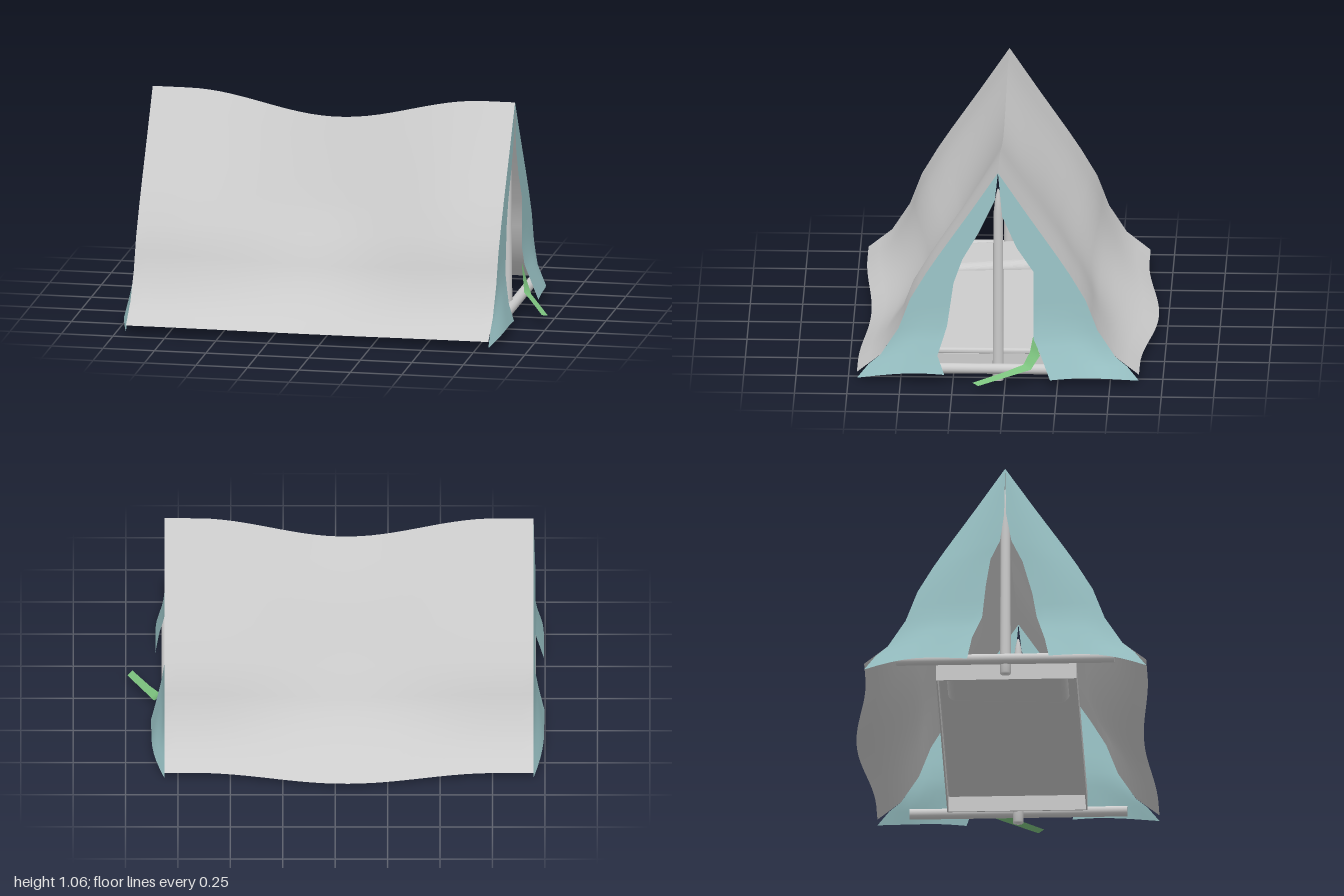
import * as THREE from 'three';
import { RoundedBoxGeometry } from 'three/addons/geometries/RoundedBoxGeometry.js';

const RIDGE_Z = 0.035, X_MIN = -0.945, X_MAX = 0.815;

const grey = new THREE.MeshStandardMaterial({ color: 0xcccccc });
const cloth = new THREE.MeshStandardMaterial({ color: 0xcccccc, side: THREE.DoubleSide });
const teal = new THREE.MeshStandardMaterial({ color: 0x9cc6c9, side: THREE.DoubleSide });
const green = new THREE.MeshStandardMaterial({ color: 0x7cc27e, side: THREE.DoubleSide });

// Slope of the tent: [distance from ridge, height, mid-span dent of the front, of the back]
const SLOPE = [
  [0, 1.06, 0, 0], [0.14, 0.85, 0.045, 0.005], [0.28, 0.645, 0.09, 0.03], [0.342, 0.55, 0.1, 0.04],
  [0.418, 0.42, 0.1, 0.04], [0.475, 0.268, 0.085, 0.015], [0.56, 0.135, 0.06, -0.035], [0.673, 0.045, 0.042, -0.068],
];

// Sheet whose grid points are placed by rule(u, v)
function sheet(cols, rows, rule) {
  const geo = new THREE.PlaneGeometry(1, 1, cols, rows);
  const pos = geo.attributes.position, uv = geo.attributes.uv;
  for (let i = 0; i < pos.count; i++) {
    pos.setXYZ(i, ...rule(uv.getX(i), 1 - uv.getY(i)));
  }
  geo.computeVertexNormals();
  return geo;
}

// Linear lookup along a list of points
function along(points, t) {
  const f = t * (points.length - 1);
  const i = Math.min(Math.floor(f + 1e-6), points.length - 2);
  return points[i].map((a, k) => a + (points[i + 1][k] - a) * (f - i));
}

// How strongly the roof sags at x
function sagAt(x) {
  const u = Math.min(1, Math.abs(x + 0.05) / 0.72);
  return Math.cos(u * Math.PI / 2) ** 2;
}

export function createModel() {
  const model = new THREE.Group();
  const add = (name, geo, mat, x = 0, y = 0, z = 0) => {
    const mesh = new THREE.Mesh(geo, mat);
    mesh.name = name;
    mesh.position.set(x, y, z);
    model.add(mesh);
  };

  // Roof: two sagging, dented slopes meeting at the ridge
  for (const side of [1, -1]) {
    const geo = sheet(32, 14, (u, v) => {
      const x = side > 0 ? X_MIN + u * (X_MAX - X_MIN) : X_MAX - u * (X_MAX - X_MIN);
      const [d, y, frontDent, backDent] = along(SLOPE, v);
      const sag = sagAt(x), high = y / 1.06;
      const dent = side > 0 ? frontDent : backDent;
      return [x, y - sag * (0.11 * high + 0.008 * (1 - high)), RIDGE_Z + side * (d - dent * sag)];
    });
    add(side > 0 ? 'frontRoofSlope' : 'backRoofSlope', geo, cloth);
  }

  // End flaps: outer edge follows the slope, inner edge is the ragged opening
  const flaps = [
    { name: 'leftFrontFlap', end: 1, side: 1, flare: 0.055,
      inner: [[0, 1.06], [0.015, 0.92], [0.09, 0.76], [0.17, 0.62], [0.212, 0.5], [0.243, 0.28], [0.288, 0.14], [0.255, 0.05]] },
    { name: 'leftBackFlap', end: 1, side: -1, flare: 0.075,
      inner: [[0, 1.06], [0.02, 0.84], [0.09, 0.68], [0.17, 0.56], [0.17, 0.4], [0.17, 0.225], [0.205, 0.15], [0.25, 0.035]] },
    { name: 'rightFrontFlap', end: -1, side: 1, flare: 0.063,
      inner: [[0, 1.06], [0.005, 0.82], [0.03, 0.68], [0.083, 0.57], [0.13, 0.4], [0.15, 0.28], [0.19, 0.15], [0.21, 0.05]] },
    { name: 'rightBackFlap', end: -1, side: -1, flare: 0.063,
      inner: [[0, 1.06], [0.005, 0.82], [0.025, 0.68], [0.07, 0.585], [0.092, 0.45], [0.11, 0.28], [0.157, 0.165], [0.18, 0.04]] },
  ];
  for (const { name, end, side, flare, inner } of flaps) {
    const geo = sheet(8, 14, (u, v) => {
      const s = end * side > 0 ? u : 1 - u;
      const [di, yi] = along(inner, v);
      const [d, yo] = along(SLOPE, v);
      const yOuter = yo - 0.03 * v ** 30;
      const y = yOuter + (yi - yOuter) * s + 0.02 * Math.sin(Math.PI * s) * v ** 12;
      // The cloth kicks outward near the ground
      const kick = flare * Math.max(0, 1 - y / 0.28) ** 1.1 * Math.sin(Math.min(1, s * 1.6) * Math.PI / 2);
      const belly = 0.01 * Math.sin(Math.PI * v) * Math.sin(Math.PI * s);
      const x = end > 0 ? X_MAX + kick : X_MIN - kick - belly;
      return [x, y, RIDGE_Z + side * (d + (di - d) * s)];
    });
    add(name, geo, teal);
  }

  // Upright poles with tapered tips, and ground bars across each end
  const poleProfile = [[0, 0], [0.026, 0], [0.026, 0.09], [0.023, 0.84], [0.014, 0.92], [0.004, 0.965], [0, 0.965]]
    .map(([r, y]) => new THREE.Vector2(r, y));
  const bar = new THREE.CylinderGeometry(0.025, 0.025, 1.04, 14).rotateX(Math.PI / 2);
  for (const [label, poleX, barX] of [['left', 0.775, 0.805], ['right', -0.908, -0.932]]) {
    add(label + 'Pole', new THREE.LatheGeometry(poleProfile, 14), grey, poleX, 0, RIDGE_Z);
    add(label + 'GroundBar', bar, grey, barX, 0.065, RIDGE_Z);
  }

  // Bed frame: thin-walled open rectangle
  const rect = (Path, w, h) => new Path([[-1, -1], [1, -1], [1, 1], [-1, 1]]
    .map(([x, y]) => new THREE.Vector2(x * w / 2, y * h / 2)));
  const frame = rect(THREE.Shape, 1.49, 0.67);
  frame.holes.push(rect(THREE.Path, 1.476, 0.656));
  const frameGeo = new THREE.ExtrudeGeometry(frame, { depth: 0.08, bevelEnabled: false }).rotateX(-Math.PI / 2);
  add('bedFrame', frameGeo, grey, -0.065, 0.015, RIDGE_Z);

  // Mattress closing the top of the frame
  add('mattress', new RoundedBoxGeometry(1.485, 0.03, 0.665, 3, 0.013), grey, -0.065, 0.105, RIDGE_Z);

  // Pillow: puffed up, thinner towards the front, with a gently curved lower edge
  const pillow = new RoundedBoxGeometry(0.34, 0.09, 0.58, 6, 0.04);
  const pos = pillow.attributes.position;
  for (let i = 0; i < pos.count; i++) {
    const px = pos.getX(i), py = pos.getY(i), pz = pos.getZ(i);
    if (py > 0) pos.setY(i, py * (0.85 - pz) + 0.035 * Math.cos(px * 4.6) * Math.cos(pz * 4.5));
    pos.setX(i, px + 0.02 * Math.sin(pz * 8));
  }
  pillow.computeVertexNormals();
  add('pillow', pillow, grey, -0.6, 0.105, RIDGE_Z);

  // Loose tie strap hanging from the back flap: centre point and half width vector
  const strap = [
    [0.815, 0.23, -0.135, 0, 0, -0.003],
    [0.828, 0.15, -0.142, 0.004, -0.008, -0.024],
    [0.85, 0.09, -0.105, 0.014, -0.008, -0.018],
    [0.9, 0.073, -0.015, 0.014, -0.006, -0.012],
    [0.98, 0.047, 0.138, 0.012, -0.004, -0.014],
  ];
  add('tieStrap', sheet(1, 12, (u, v) => {
    const [x, y, z, wx, wy, wz] = along(strap, v);
    const k = 1 - 2 * u;
    return [x + wx * k, y + wy * k, z + wz * k];
  }), green);

  return model;
}
